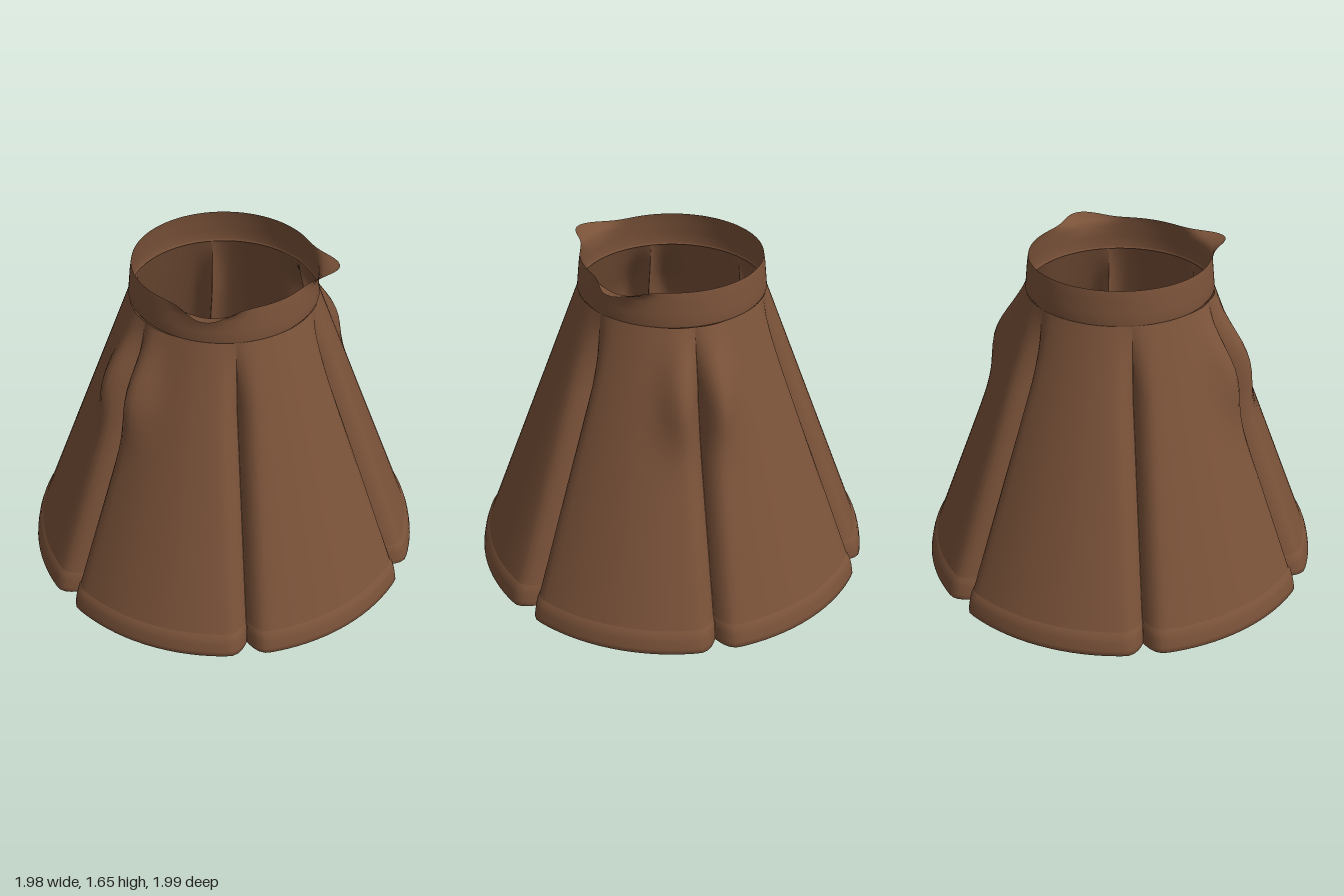
import * as THREE from 'three';

const PANELS = 6, STEPS = 28, HALF = Math.PI / PANELS;
const HEM_TOP = 0.115, WAIST = 1.48;
const bell = (v, mid, width) => Math.exp(-(((v - mid) / width) ** 2));

// Angles round the skirt, crowded towards the seams between panels
const angles = [];
for (let p = 0; p < PANELS; p++) {
  for (let i = 0; i < STEPS; i++) {
    angles.push(p * 2 * HALF + HALF * Math.sin((i / STEPS - 0.5) * Math.PI));
  }
}

// Closed loft: rows of points round the y axis, listed upwards on the outside
function loft(rows, point) {
  const n = angles.length, positions = [], index = [];
  rows.forEach((row) => angles.forEach((a) => {
    const [r, y] = point(row, a);
    positions.push(r * Math.sin(a), y, r * Math.cos(a));
  }));
  for (let j = 0; j < rows.length - 1; j++) {
    for (let i = 0; i < n; i++) {
      const k = (i + 1) % n;
      const a = j * n + i, b = j * n + k, c = b + n, d = a + n;
      index.push(a, b, c, a, c, d);
    }
  }
  const g = new THREE.BufferGeometry();
  g.setAttribute('position', new THREE.Float32BufferAttribute(positions, 3));
  g.setIndex(index);
  g.computeVertexNormals();
  return g;
}

// Inward fold at each seam between two panels
function fold(a, r, y) {
  const p = Math.round(a / (2 * HALF));
  const s = (HALF - Math.abs(a - p * 2 * HALF)) * r;
  const depth = 0.09 * Math.min(1, Math.max(0, (WAIST - y) / 0.35));
  return depth * Math.max(0, 1 - s / 0.1) ** 2.2;
}

// Fullness of the cloth on either side of the two side seams, high on the hips
function fullness(a, y) {
  const side = Math.acos(Math.min(1, Math.abs(Math.sin(a))));
  return 0.075 * bell(y, 1.17, 0.2) * bell(side, 0.14, 0.16);
}

export function createModel() {
  const group = new THREE.Group();
  const brown = new THREE.MeshStandardMaterial({ color: 0x7a5239, side: THREE.DoubleSide });
  const add = (name, geometry) => {
    const mesh = new THREE.Mesh(geometry, brown);
    mesh.name = name;
    group.add(mesh);
  };

  // Six flared panels
  const heights = Array.from({ length: 29 }, (_, i) => 0.1 + (WAIST - 0.1) * i / 28);
  add('skirtPanels', loft(heights, (y, a) => {
    const r = THREE.MathUtils.mapLinear(y, HEM_TOP, WAIST, 0.96, 0.455);
    return [r - fold(a, r, y) + fullness(a, y), y];
  }));

  // Thick scalloped hem, from its inner edge round to the outside
  const hem = [[0.945, 0.115], [0.95, 0.03], [0.965, 0.004], [0.98, 0], [0.995, 0.006],
    [0.992, 0.03], [0.984, 0.07], [0.974, 0.1], [0.957, 0.12]];
  add('hem', loft(hem, ([r, y], a) => [r - fold(a, r, y), y]));

  // Waistband, its top edge turned out at the two front corners
  const band = [[0.45, 1.475, 0], [0.457, 1.487, 0], [0.452, 1.54, 0], [0.446, 1.6, 0.05],
    [0.442, 1.628, 0.3], [0.44, 1.64, 0.75], [0.438, 1.65, 1]];
  add('waistband', loft(band, ([r, y, flare], a) => {
    const turn = Math.atan2(Math.sin(a), Math.cos(a));
    return [r + 0.11 * flare * bell(Math.abs(turn), 0.8, 0.24), y];
  }));

  return group;
}
